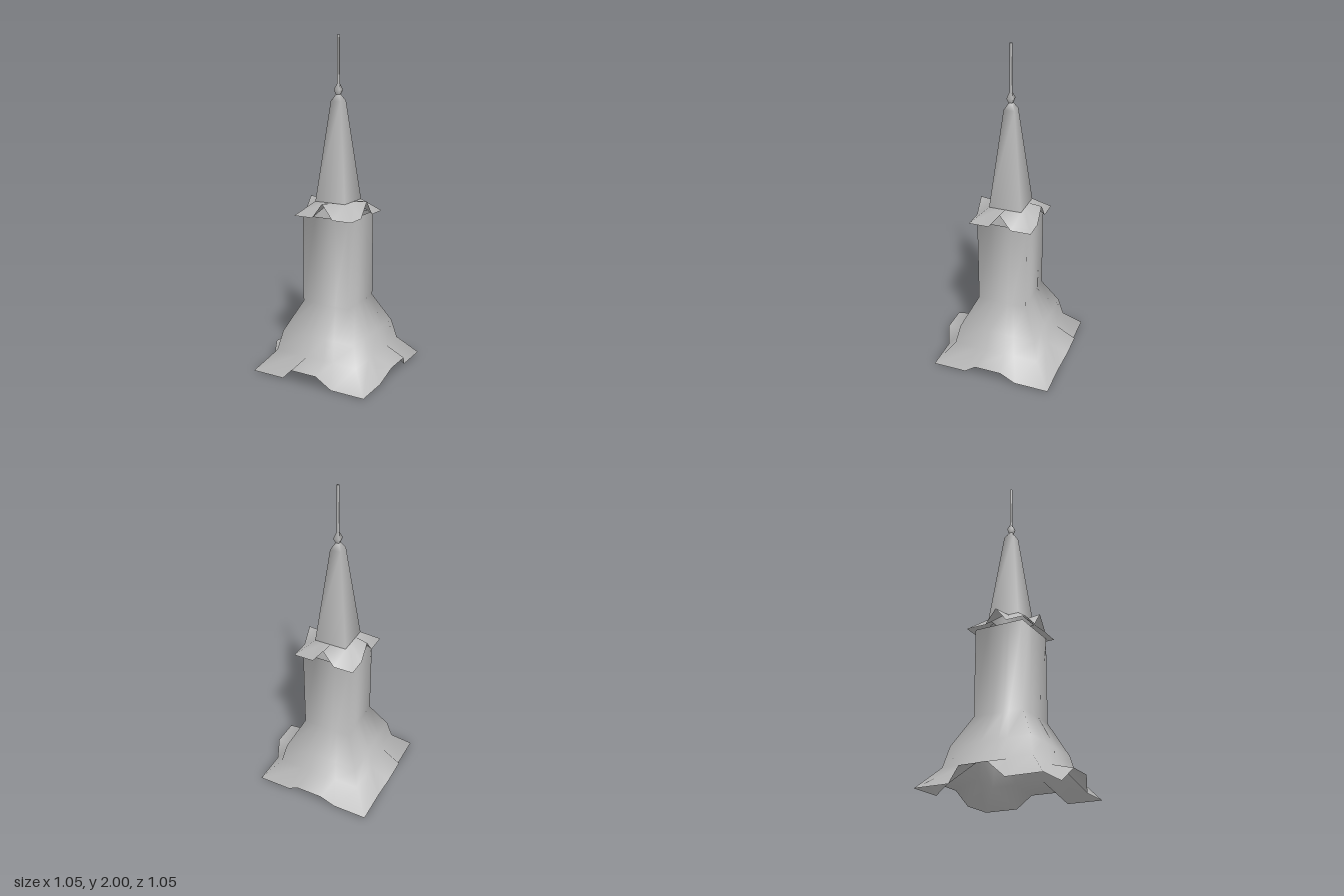
import * as THREE from 'three';

const TURN = 9.8 * Math.PI / 180; // the square plan is turned about the vertical axis

// Skin square rings, listed from bottom to top. ring: { y, r: corner radius, lift?, push? }
// ts: positions along each side; lift and push give a height and outward shift per position.
// Plain rings shade smoothly from corner to corner.
function squareLoft(rings, ts, capped = false) {
  const pos = [], idx = [], per = ts.length, n = per * 4;
  const corner = (r, k) => {
    const a = TURN + k * Math.PI / 2;
    return new THREE.Vector3(r * Math.sin(a), 0, r * Math.cos(a));
  };
  for (const { y, r, lift, push } of rings) {
    for (let k = 0; k < 4; k++) {
      const out = corner(1, k + 0.5);
      ts.forEach((t, j) => {
        const p = corner(r, k).lerp(corner(r, k + 1), t);
        if (push) p.addScaledVector(out, push[j]);
        pos.push(p.x, y + (lift ? lift[j] : 0), p.z);
      });
    }
  }
  for (let i = 0; i < rings.length - 1; i++) {
    for (let j = 0; j < n; j++) {
      const a = i * n + j, b = i * n + (j + 1) % n;
      idx.push(a, b, b + n, a, b + n, a + n);
    }
  }
  if (capped) {
    const top = (rings.length - 1) * n;
    idx.push(top, top + per, top + 2 * per, top, top + 2 * per, top + 3 * per);
  }
  const geo = new THREE.BufferGeometry();
  geo.setAttribute('position', new THREE.Float32BufferAttribute(pos, 3));
  geo.setIndex(idx);
  geo.computeVertexNormals();

  // Blend normals between the corners of plain rings
  const normal = geo.attributes.normal;
  const v0 = new THREE.Vector3(), v1 = new THREE.Vector3();
  rings.forEach((ring, i) => {
    if (ring.lift) return;
    for (let k = 0; k < 4; k++) {
      v0.fromBufferAttribute(normal, i * n + k * per);
      v1.fromBufferAttribute(normal, i * n + ((k + 1) % 4) * per);
      ts.forEach((t, j) => {
        if (j === 0) return;
        const v = v0.clone().lerp(v1, t).normalize();
        normal.setXYZ(i * n + k * per + j, v.x, v.y, v.z);
      });
    }
  });
  return geo;
}

export function createModel() {
  const group = new THREE.Group();
  const stone = new THREE.MeshStandardMaterial({ color: 0xb8b8b8, side: THREE.DoubleSide });
  stone.name = 'plain grey';
  const add = (name, geo) => {
    const mesh = new THREE.Mesh(geo, stone);
    mesh.name = name;
    group.add(mesh);
  };

  // Shaft with a flared skirt; a raised arch opens in the middle of each side
  add('towerBody', squareLoft([
    { y: 0, r: 0.533, lift: [0, 0, 0.08, 0.08, 0], push: [0, 0, 0.034, 0.034, 0] },
    { y: 0.12, r: 0.387 },
    { y: 0.24, r: 0.348 },
    { y: 0.42, r: 0.219 },
    { y: 0.955, r: 0.219 },
  ], [0, 0.28, 0.39, 0.61, 0.72]));

  // Eave with drooping corners and a pointed notch in each side
  add('eave', squareLoft([
    { y: 0.955, r: 0.272, lift: [0, 0, 0.09, 0] },
    { y: 1.035, r: 0.142 },
  ], [0, 0.32, 0.5, 0.68]));

  // Tapering square spire
  add('spire', squareLoft([
    { y: 1.035, r: 0.142 },
    { y: 1.625, r: 0.046 },
    { y: 1.665, r: 0.014 },
  ], [0]));

  // Knob and needle
  add('finial', squareLoft([
    { y: 1.66, r: 0.014 },
    { y: 1.69, r: 0.028 },
    { y: 1.725, r: 0.009 },
    { y: 2, r: 0.009 },
  ], [0], true));

  return group;
}
